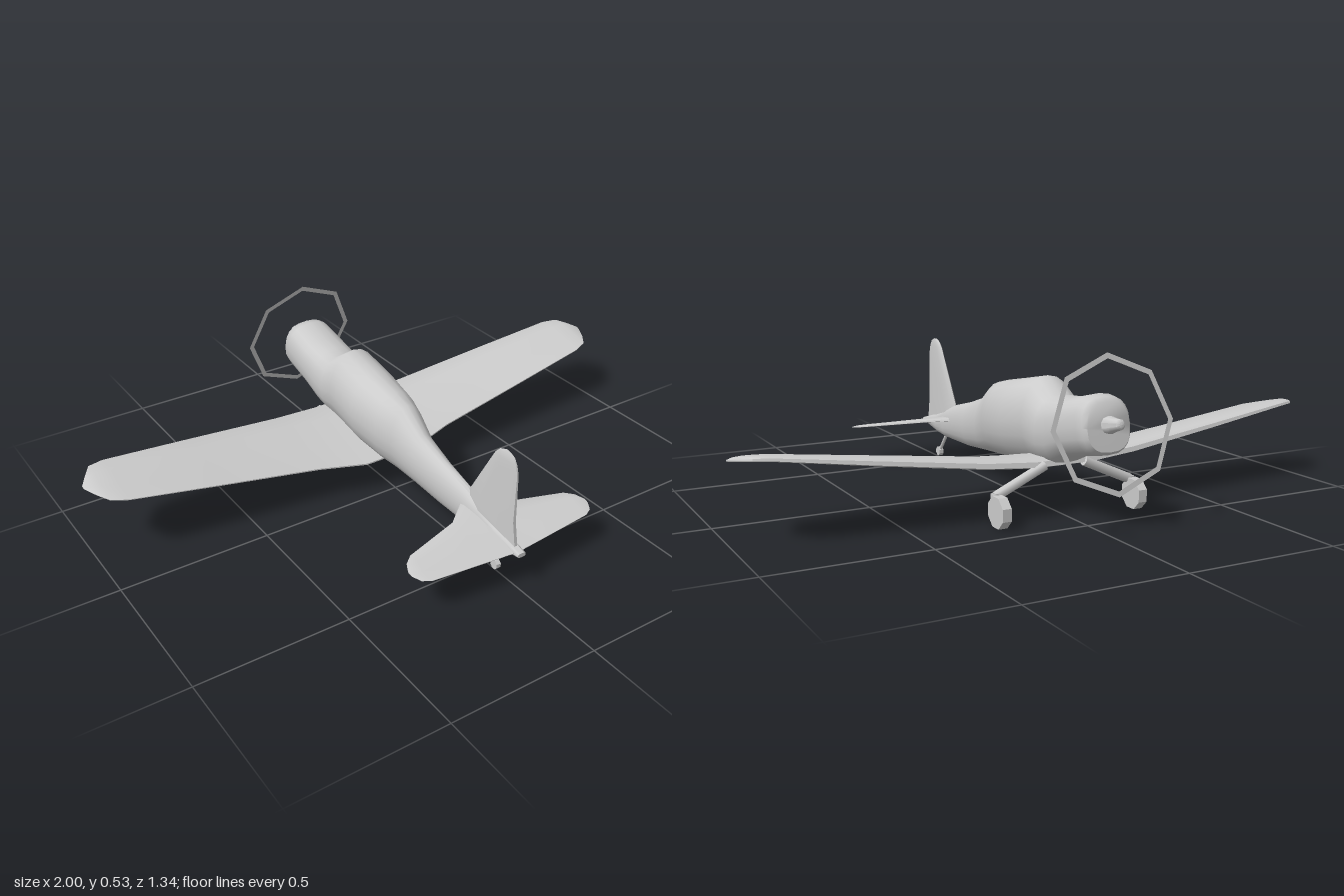
import * as THREE from 'three';
import { toCreasedNormals } from 'three/addons/utils/BufferGeometryUtils.js';

const grey = new THREE.MeshStandardMaterial({ color: 0xcccccc });
const grey2 = new THREE.MeshStandardMaterial({ color: 0xcccccc, side: THREE.DoubleSide });

function part(name, geometry, material = grey) {
  const mesh = new THREE.Mesh(geometry, material);
  mesh.name = name;
  return mesh;
}

// Skin over a row of closed cross-sections, with both ends capped.
function loft(rings, crease) {
  const n = rings[0].length, pos = [];
  const tri = (a, b, c) => pos.push(...a, ...b, ...c);
  for (let i = 0; i < rings.length - 1; i++) {
    for (let j = 0; j < n; j++) {
      const k = (j + 1) % n, a = rings[i], b = rings[i + 1];
      tri(a[j], b[j], b[k]);
      tri(a[j], b[k], a[k]);
    }
  }
  const first = rings[0], last = rings[rings.length - 1];
  for (let j = 1; j < n - 1; j++) {
    tri(first[0], first[j], first[j + 1]);
    tri(last[0], last[j + 1], last[j]);
  }
  // Signed volume tells whether the skin is inside out.
  const v = i => new THREE.Vector3(pos[i], pos[i + 1], pos[i + 2]);
  let volume = 0;
  for (let i = 0; i < pos.length; i += 9) volume += v(i).dot(v(i + 3).cross(v(i + 6)));
  if (volume < 0) {
    for (let i = 0; i < pos.length; i += 9) {
      for (let c = 3; c < 6; c++) [pos[i + c], pos[i + c + 3]] = [pos[i + c + 3], pos[i + c]];
    }
  }
  const g = new THREE.BufferGeometry();
  g.setAttribute('position', new THREE.Float32BufferAttribute(pos, 3));
  return toCreasedNormals(g, crease);
}

// Full-span surface; half-span stations are [x, leading z, leading y, trailing z, trailing y, thickness].
const AIRFOIL = [[0, -0.2], [0.015, 0.35], [0.07, 0.75], [0.3, 1], [0.65, 0.6], [1, 0.08], [1, -0.08], [0.6, -0.25], [0.08, -0.35]];
function span(stations) {
  const mirrored = stations.filter(s => s[0] > 0).map(([x, ...r]) => [-x, ...r]).reverse();
  return loft([...mirrored, ...stations].map(([x, lz, ly, tz, ty, t]) =>
    AIRFOIL.map(([c, h]) => [x, ly + (ty - ly) * c + h * t, lz + (tz - lz) * c])), 0.6);
}

function rod(name, a, b, radius) {
  const from = new THREE.Vector3(...a), to = new THREE.Vector3(...b);
  const dir = to.clone().sub(from);
  const mesh = part(name, new THREE.CylinderGeometry(radius, radius, dir.length(), 8));
  mesh.position.copy(from).add(to).multiplyScalar(0.5);
  mesh.quaternion.setFromUnitVectors(new THREE.Vector3(0, 1, 0), dir.normalize());
  return mesh;
}

function wheel(name, radius, width, x, y, z) {
  const g = toCreasedNormals(new THREE.CylinderGeometry(radius, radius, width, 8).rotateY(Math.PI / 8), 0.3);
  const mesh = part(name, g.rotateZ(Math.PI / 2));
  mesh.position.set(x, y, z);
  return mesh;
}

export function createModel() {
  const plane = new THREE.Group();
  plane.name = 'aeroplane';

  // Fuselage: [z, bottom, top, half width, squareness, lean]
  const body = [
    [0.67, 0.124, 0.138, 0.015, 3, 0],
    [0.55, 0.1, 0.172, 0.02, 2.4, 0],
    [0.48, 0.094, 0.2, 0.024, 2.2, 0],
    [0.4, 0.094, 0.226, 0.03, 2, 0],
    [0.28, 0.096, 0.256, 0.038, 2, 0],
    [0.16, 0.106, 0.294, 0.05, 2, 0],
    [0.07, 0.113, 0.358, 0.068, 2, 0],
    [0, 0.12, 0.375, 0.086, 2.1, 0],
    [-0.12, 0.13, 0.398, 0.1, 2.1, 0],
    [-0.257, 0.148, 0.425, 0.097, 2.1, 0],
    [-0.33, 0.16, 0.376, 0.092, 2.3, 0],
    [-0.38, 0.172, 0.38, 0.09, 2.5, 0],
    [-0.455, 0.208, 0.388, 0.09, 2.6, 0.06],
    [-0.56, 0.232, 0.412, 0.086, 2.6, 0.15],
    [-0.592, 0.24, 0.408, 0.082, 2.6, 0.17],
    [-0.605, 0.25, 0.395, 0.072, 2.6, 0.17],
  ];
  const N = 20;
  plane.add(part('fuselage', loft(body.map(([z, lo, hi, w, e, lean]) =>
    Array.from({ length: N }, (_, i) => {
      const a = i / N * Math.PI * 2;
      const p = v => Math.sign(v) * Math.pow(Math.abs(v), 2 / e);
      const dy = p(Math.sin(a)) * (hi - lo) / 2;
      return [p(Math.cos(a)) * w, (lo + hi) / 2 + dy, z + lean * dy];
    })), 0.9)));

  // Main wing, rising toward rounded tips
  plane.add(part('wing', span([
    [0, -0.37, 0.17, -0.02, 0.122, 0.03],
    [0.1, -0.368, 0.17, -0.02, 0.122, 0.03],
    [0.26, -0.36, 0.182, -0.06, 0.138, 0.028],
    [0.6, -0.338, 0.225, -0.086, 0.187, 0.022],
    [0.9, -0.315, 0.264, -0.107, 0.233, 0.015],
    [0.95, -0.302, 0.266, -0.125, 0.24, 0.013],
    [0.978, -0.26, 0.26, -0.165, 0.247, 0.01],
    [1, -0.225, 0.254, -0.21, 0.252, 0.004],
  ])));

  // Tailplane
  plane.add(part('tailplane', span([
    [0, 0.4, 0.172, 0.655, 0.132, 0.012],
    [0.03, 0.4, 0.172, 0.65, 0.132, 0.012],
    [0.1, 0.457, 0.163, 0.644, 0.133, 0.01],
    [0.295, 0.513, 0.155, 0.626, 0.136, 0.007],
    [0.322, 0.535, 0.151, 0.612, 0.138, 0.006],
    [0.337, 0.565, 0.146, 0.585, 0.143, 0.003],
  ])));

  // Tail fin: [y, leading z, trailing z, half thickness]
  const fin = [
    [0.12, 0.4, 0.645, 0.018], [0.225, 0.41, 0.628, 0.017], [0.39, 0.507, 0.63, 0.009],
    [0.42, 0.525, 0.622, 0.008], [0.44, 0.545, 0.61, 0.006], [0.449, 0.568, 0.592, 0.003],
  ];
  plane.add(part('tailFin', loft(fin.map(([y, a, b, t]) =>
    [[0, 0], [0.08, 0.6], [0.3, 1], [1, 0.3], [1, -0.3], [0.3, -1], [0.08, -0.6]]
      .map(([c, h]) => [h * t, y, a + (b - a) * c])), 0.6)));

  // Propeller disc rim and spinner share the tilt of the nose
  const prop = new THREE.Group();
  prop.name = 'propeller';
  prop.position.set(0, 0.333, -0.63);
  prop.rotation.x = 0.185;
  prop.add(part('propellerRim', new THREE.RingGeometry(0.19, 0.207, 8, 1, Math.PI / 2), grey2));
  const spinner = [[0, -0.04], [0.026, -0.04], [0.026, -0.01], [0.021, 0.005], [0.016, 0.036], [0.008, 0.044], [0, 0.045]];
  const spinnerMesh = part('spinner', toCreasedNormals(
    new THREE.LatheGeometry(spinner.map(p => new THREE.Vector2(...p)), 10), 0.8));
  spinnerMesh.rotation.x = -Math.PI / 2;
  prop.add(spinnerMesh);
  plane.add(prop);

  // Main landing gear
  for (const s of [-1, 1]) {
    const gear = new THREE.Group();
    gear.name = s > 0 ? 'leftLandingGear' : 'rightLandingGear';
    gear.add(
      rod('strut', [s * 0.07, 0.167, -0.362], [s * 0.24, 0.09, -0.362], 0.016),
      rod('leg', [s * 0.24, 0.1, -0.362], [s * 0.24, 0.045, -0.368], 0.015),
      wheel('wheel', 0.051, 0.03, s * 0.24, 0.05, -0.392));
    plane.add(gear);
  }

  // Tail wheel
  plane.add(
    rod('tailStrut', [0, 0.1, 0.49], [0, 0.028, 0.55], 0.006),
    wheel('tailWheel', 0.017, 0.016, 0, 0.026, 0.552));

  return plane;
}
